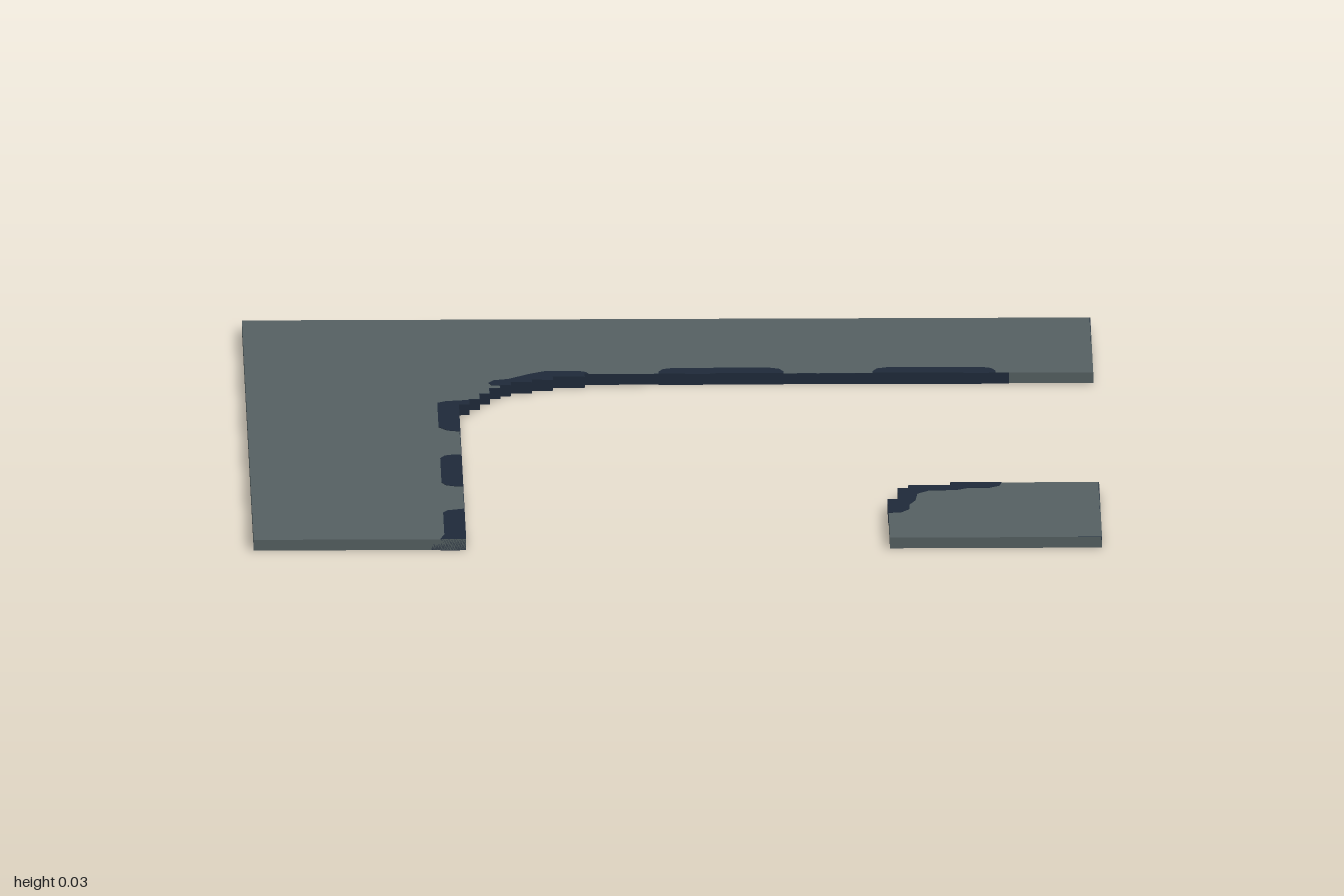
import * as THREE from 'three';

const BASE = 0.001, TOP = 0.027;

// Flat slab from [x, z] outline points, between two heights
function slab(points, y0, y1, material, name) {
  const shape = new THREE.Shape(points.map(([x, z]) => new THREE.Vector2(x, -z)));
  const geo = new THREE.ExtrudeGeometry(shape, { depth: y1 - y0, bevelEnabled: false });
  geo.rotateX(-Math.PI / 2);
  geo.translate(0, y0, 0);
  const mesh = new THREE.Mesh(geo, material);
  mesh.name = name;
  return mesh;
}

// Thin plates standing along a path of [x, z] points
function edgePlates(points, material, name, y0 = BASE, y1 = TOP) {
  const group = new THREE.Group();
  group.name = name;
  for (let i = 1; i < points.length; i++) {
    const [ax, az] = points[i - 1], [bx, bz] = points[i];
    const geo = new THREE.BoxGeometry(Math.abs(bx - ax) + 0.002, y1 - y0, Math.abs(bz - az) + 0.002);
    geo.translate((ax + bx) / 2, (y0 + y1) / 2, (az + bz) / 2);
    const plate = new THREE.Mesh(geo, material);
    plate.name = name + 'Plate';
    group.add(plate);
  }
  return group;
}

// Half-pill outline: runs from a to b, reaching 0.05 into the slab
function halfPill(a, b) {
  const d = 0.05, r = 0.035;
  return [[a, 0], [a, d - r], [a + r * 0.3, d - r * 0.3], [a + r, d],
    [b - r, d], [b - r * 0.3, d - r * 0.3], [b, d - r], [b, 0]];
}

export function createModel() {
  const grey = new THREE.MeshStandardMaterial({ color: 0x556062 });
  grey.name = 'slateGrey';
  const navy = new THREE.MeshStandardMaterial({ color: 0x1f2a3a });
  navy.name = 'darkNavy';
  const model = new THREE.Group();
  model.name = 'pavementCorner';
  const mark = (points) => model.add(slab(points, 0, TOP + 0.001, navy, 'edgeMark'));

  // Stepped inside corner of the large L piece
  const steps = [
    [-0.2, -0.5], [-0.2, -0.475], [-0.275, -0.475], [-0.275, -0.45], [-0.325, -0.45],
    [-0.325, -0.425], [-0.375, -0.425], [-0.375, -0.4], [-0.4, -0.4], [-0.4, -0.375],
    [-0.425, -0.375], [-0.425, -0.325], [-0.45, -0.325], [-0.45, -0.275],
    [-0.475, -0.275], [-0.475, -0.23], [-0.5, -0.23],
  ];
  model.add(slab([[-1, 1], [-1, -1], [1, -1], [1, -0.5], ...steps, [-0.5, 1]], BASE, TOP, grey, 'cornerSlab'));

  // Small block with a stepped outside corner
  const blockSteps = [[0.65, 0.5], [0.65, 0.525], [0.55, 0.525], [0.55, 0.55],
    [0.525, 0.55], [0.525, 0.65], [0.5, 0.65]];
  model.add(slab([[1, 1], [1, 0.5], ...blockSteps, [0.5, 1]], BASE, TOP, grey, 'smallBlock'));

  // Dark marks along the straight inner edges
  for (const [a, b] of [[-0.025, 0.27], [0.48, 0.77]]) {
    mark(halfPill(a, b).map(([t, d]) => [t, -0.5 - d]));
  }
  mark(halfPill(0.23, 0.52).map(([t, d]) => [-0.5 - d, t]));
  mark([[-0.5, 1], [-0.56, 1], [-0.55, 0.96], [-0.55, 0.76], [-0.54, 0.74], [-0.5, 0.725]]);
  mark([[-0.5, 0.02], [-0.53, 0.01], [-0.55, -0.02], [-0.55, -0.24], [-0.53, -0.255],
    [-0.475, -0.265], [-0.475, -0.23], [-0.5, -0.23]]);

  // Dark marks that follow the steps
  mark([[-0.19, -0.5], [-0.195, -0.515], [-0.215, -0.527], [-0.29, -0.527], [-0.33, -0.5],
    [-0.38, -0.455], [-0.415, -0.443], [-0.427, -0.42], [-0.42, -0.4],
    ...steps.slice(0, 9).reverse()]);
  mark([[0.77, 0.5], [0.765, 0.53], [0.74, 0.55], [0.69, 0.55], [0.66, 0.57], [0.6, 0.57],
    [0.57, 0.6], [0.565, 0.66], [0.55, 0.7], [0.55, 0.74], [0.53, 0.77], [0.5, 0.775],
    ...blockSteps.slice().reverse()]);

  // Dark upright faces
  model.add(edgePlates([[0.8, -0.5], ...steps, [-0.5, 0.999]], navy, 'innerEdge'));
  model.add(edgePlates([[0.77, 0.5], ...blockSteps, [0.5, 0.77]], navy, 'blockEdge'));
  model.add(edgePlates([[0.999, -0.999], [0.999, -0.501]], navy, 'rightEnd'));
  model.add(edgePlates([[-0.58, 0.999], [-0.501, 0.999]], navy, 'frontEnd'));
  model.add(edgePlates([[0.9, 0.999], [0.999, 0.999]], navy, 'blockFrontEnd'));

  // Thin dark bands on the outer ends
  model.add(edgePlates([[-0.999, 0.999], [-0.58, 0.999]], navy, 'frontBand', BASE, 0.01));
  model.add(edgePlates([[0.999, 0.501], [0.999, 0.999]], navy, 'blockSideBand', 0.019, TOP));
  return model;
}
